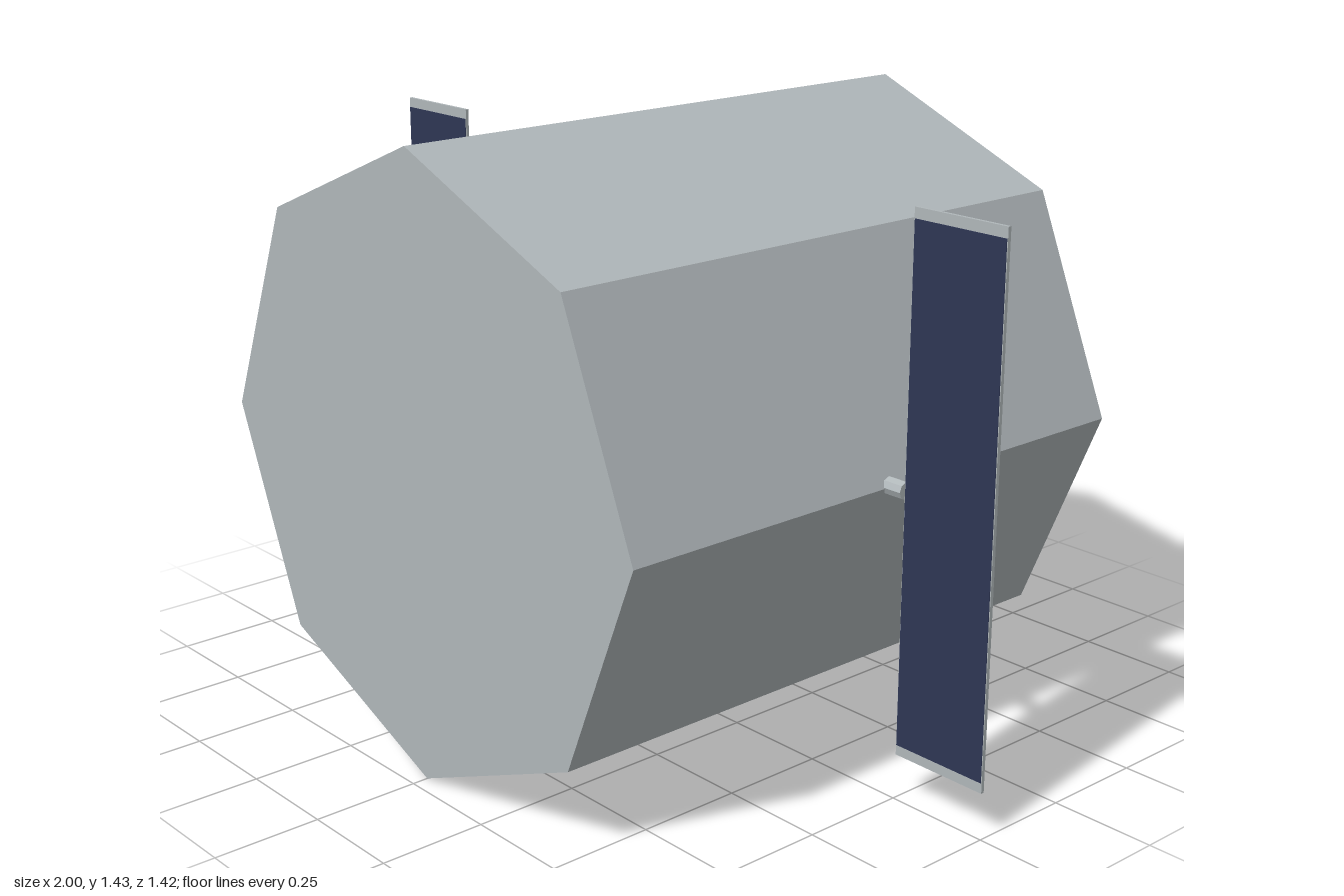
import * as THREE from 'three';

const CENTRE_Y = 0.713;

export function createModel() {
  const hull = new THREE.MeshStandardMaterial({ color: 0xb0b7ba });
  hull.name = 'hull grey';
  hull.flatShading = true;
  const cells = new THREE.MeshStandardMaterial({ color: 0x2e3654 });
  cells.name = 'solar cell navy';

  const model = new THREE.Group();
  model.name = 'satellite';

  const add = (parent, name, geometry, material, x, y, z) => {
    const mesh = new THREE.Mesh(geometry, material);
    mesh.name = name;
    mesh.position.set(x, y, z);
    parent.add(mesh);
    return mesh;
  };

  // Octagonal body lying along z, with a corner at the top
  const bodyGeo = new THREE.CylinderGeometry(0.713, 0.713, 1.425, 8).rotateX(Math.PI / 2);
  add(model, 'body', bodyGeo, hull, 0, CENTRE_Y, 0);

  // A short arm and an upright solar panel on each side
  const armGeo = new THREE.CylinderGeometry(0.02, 0.02, 0.05, 8).rotateZ(Math.PI / 2);
  const panelGeo = new THREE.BoxGeometry(0.243, 1.213, 0.008);
  const cellGeo = new THREE.BoxGeometry(0.239, 1.165, 0.002);
  for (const [side, label] of [[1, 'left'], [-1, 'right']]) {
    const wing = new THREE.Group();
    wing.name = label + 'Wing';
    add(wing, label + 'Arm', armGeo, hull, side * 0.732, CENTRE_Y + 0.003, 0);
    add(wing, label + 'Panel', panelGeo, hull, side * 0.8785, CENTRE_Y + 0.003, 0);
    // Cells cover the front face only
    add(wing, label + 'SolarCells', cellGeo, cells, side * 0.8785, CENTRE_Y + 0.003, 0.0045);
    model.add(wing);
  }

  return model;
}
